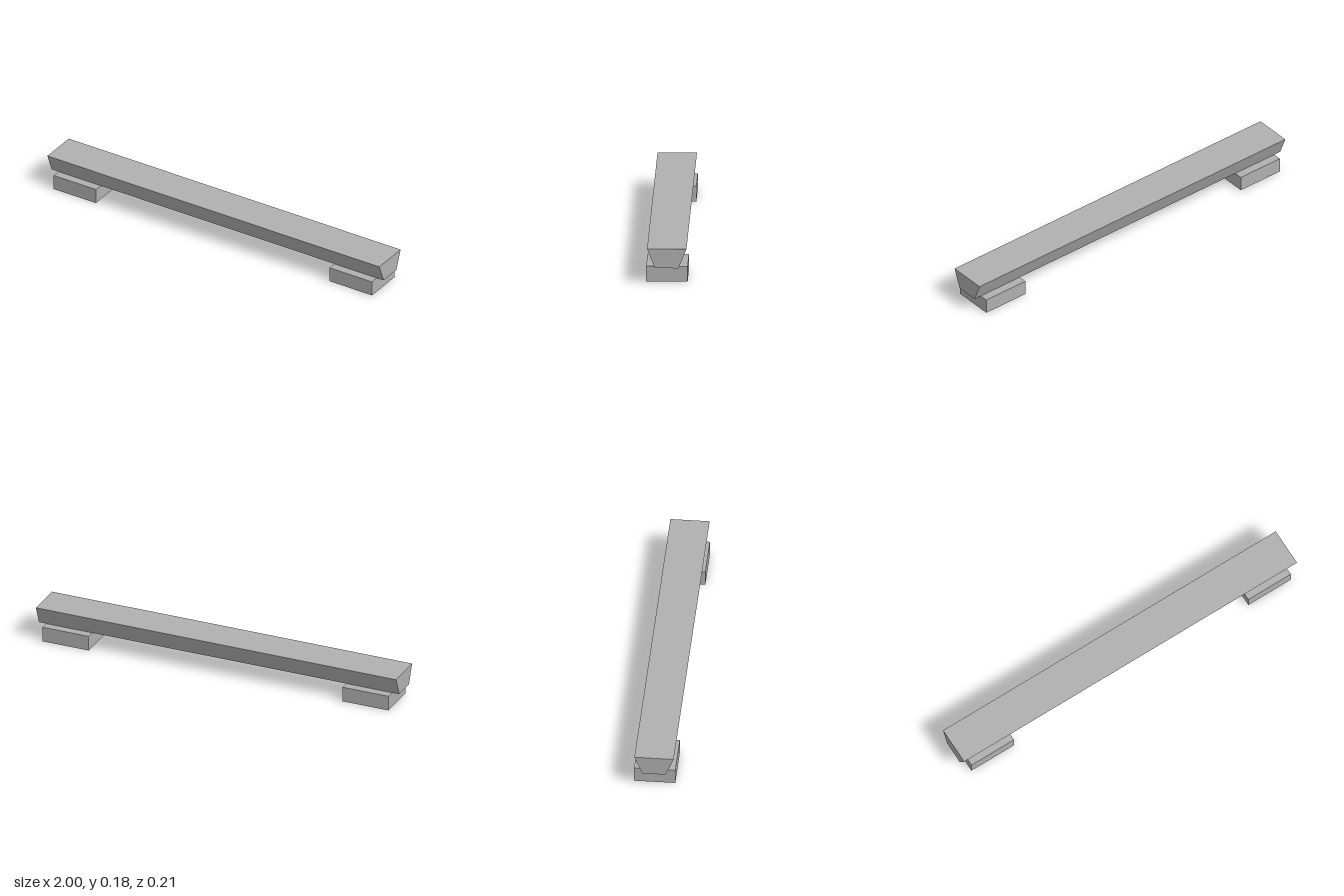
import * as THREE from 'three';

const LENGTH = 2, FOOT_H = 0.08, TOP_Y = 0.18;
const FOOT_W = 0.255, FOOT_D = 0.21, WALL = 0.042, RECESS = 0.066;

function rectangle(PathType, w, d) {
  return new PathType([
    new THREE.Vector2(-w / 2, -d / 2), new THREE.Vector2(w / 2, -d / 2),
    new THREE.Vector2(w / 2, d / 2), new THREE.Vector2(-w / 2, d / 2),
  ]);
}

export function createModel() {
  const model = new THREE.Group();
  model.name = 'beamOnFeet';
  const grey = new THREE.MeshStandardMaterial({ color: 0xb0b0b0 });
  grey.name = 'grey';

  // Beam: trapezoid section, wider at the top, run along x
  const section = new THREE.Shape([
    new THREE.Vector2(-0.06, FOOT_H), new THREE.Vector2(0.06, FOOT_H),
    new THREE.Vector2(0.1, TOP_Y), new THREE.Vector2(-0.1, TOP_Y),
  ]);
  const beamGeometry = new THREE.ExtrudeGeometry(section, { depth: LENGTH, bevelEnabled: false });
  beamGeometry.translate(0, 0, -LENGTH / 2).rotateY(Math.PI / 2);
  const beam = new THREE.Mesh(beamGeometry, grey);
  beam.name = 'beam';
  model.add(beam);

  // Foot walls: rectangular frame, open underneath
  const frame = rectangle(THREE.Shape, FOOT_W, FOOT_D);
  frame.holes.push(rectangle(THREE.Path, FOOT_W - 2 * WALL, FOOT_D - 2 * WALL));
  const wallGeometry = new THREE.ExtrudeGeometry(frame, { depth: FOOT_H, bevelEnabled: false });
  wallGeometry.rotateX(-Math.PI / 2);

  // Foot lid: closes the recess at the top
  const lidGeometry = new THREE.BoxGeometry(FOOT_W - 2 * WALL, FOOT_H - RECESS, FOOT_D - 2 * WALL);
  lidGeometry.translate(0, (FOOT_H + RECESS) / 2, 0);

  for (const side of [-1, 1]) {
    const foot = new THREE.Group();
    foot.name = side > 0 ? 'leftFoot' : 'rightFoot';
    const walls = new THREE.Mesh(wallGeometry, grey);
    walls.name = 'footWalls';
    const lid = new THREE.Mesh(lidGeometry, grey);
    lid.name = 'footLid';
    foot.add(walls, lid);
    foot.position.x = side * 0.832;
    model.add(foot);
  }
  return model;
}
